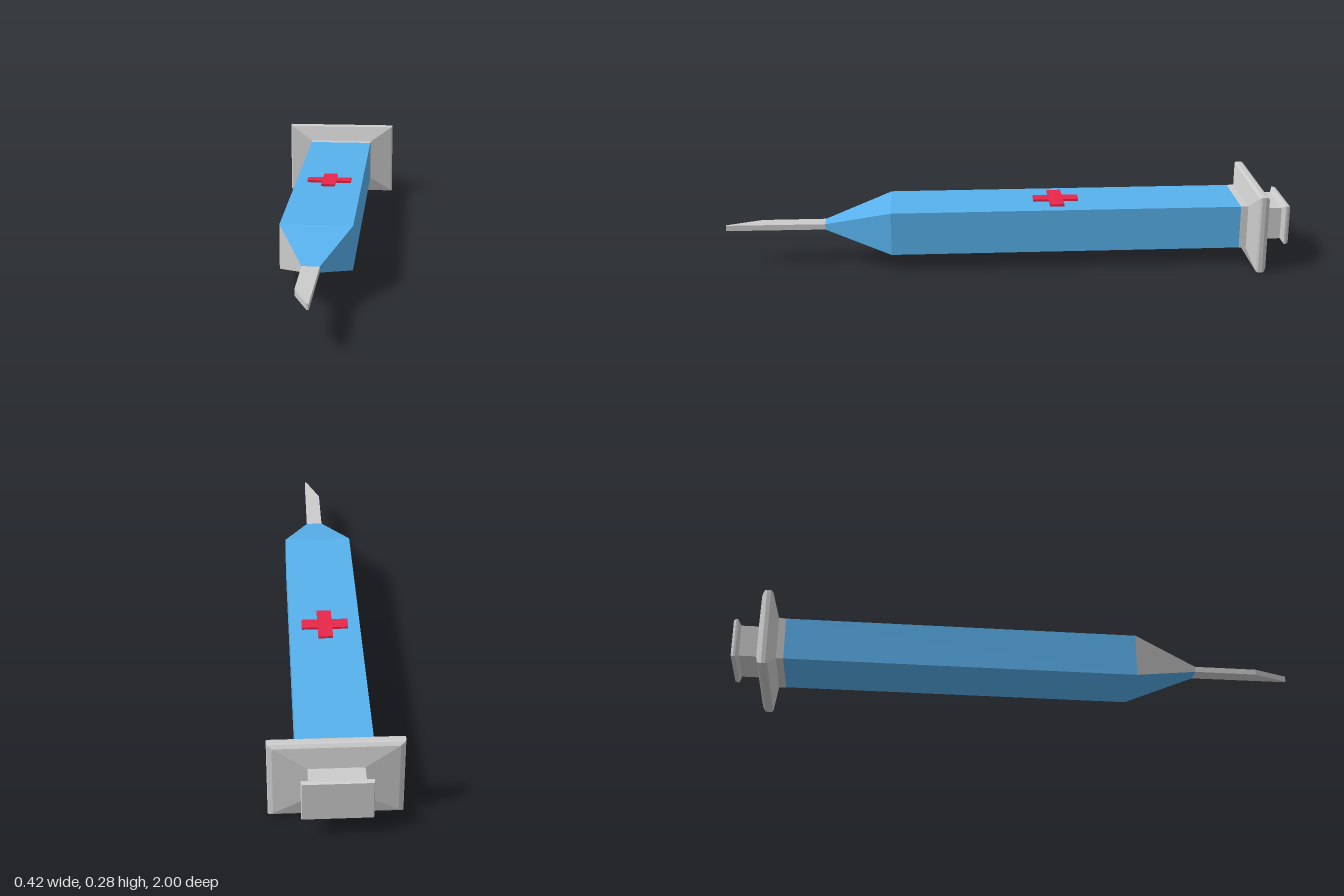
import * as THREE from 'three';

const CY = 0.139; // height of the long axis
const grey = new THREE.MeshStandardMaterial({ color: 0xcccccc, flatShading: true });
const blue = new THREE.MeshStandardMaterial({ color: 0x58b2ee, flatShading: true });
const red = new THREE.MeshStandardMaterial({ color: 0xe8264a, flatShading: true });

// Rectangular loft along z. Sections are [z, halfWidth, halfHeight, centreX], z rising.
// sides: 0 top, 1 -x, 2 bottom, 3 +x
function loft(sections, sides = [0, 1, 2, 3], caps = true) {
  const pos = [];
  const rings = sections.map(([z, w, h, cx = 0]) =>
    [[1, 1], [-1, 1], [-1, -1], [1, -1]].map(([sx, sy]) => [cx + sx * w, CY + sy * h, z]));
  const quad = (a, b, c, d) => pos.push(...a, ...b, ...c, ...a, ...c, ...d);
  for (let i = 0; i < rings.length - 1; i++) {
    const p = rings[i], q = rings[i + 1];
    for (const k of sides) quad(p[k], p[(k + 1) % 4], q[(k + 1) % 4], q[k]);
  }
  if (caps) {
    const s = rings[0];
    quad(s[3], s[2], s[1], s[0]);
    quad(...rings[rings.length - 1]);
  }
  const g = new THREE.BufferGeometry();
  g.setAttribute('position', new THREE.Float32BufferAttribute(pos, 3));
  g.computeVertexNormals();
  return g;
}

// Flat slab from an [x, z] outline, with its top at the given height
function slab(points, top, depth) {
  const shape = new THREE.Shape(points.map(([x, z]) => new THREE.Vector2(x, z)));
  return new THREE.ExtrudeGeometry(shape, { depth, bevelEnabled: false })
    .rotateX(Math.PI / 2).translate(0, top, 0);
}

export function createModel() {
  const model = new THREE.Group();
  const add = (name, geometry, material) => {
    const mesh = new THREE.Mesh(geometry, material);
    mesh.name = name;
    model.add(mesh);
  };

  // Barrel and its tapered nozzle, one nozzle face left grey
  const shoulder = [0.415, 0.122, 0.077], tip = [0.65, 0.029, 0.01, 0.002];
  add('barrel', loft([[-0.82, 0.122, 0.077], shoulder]), blue);
  add('nozzle', loft([shoulder, tip], [0, 2, 3]), blue);
  add('nozzleGreyFace', loft([shoulder, tip], [1], false), grey);

  // Slanted needle
  add('needle', slab([[-0.027, 0.64], [0.031, 0.64], [0.027, 1], [0.021, 1], [-0.027, 0.875]],
    CY + 0.01, 0.02), grey);

  // Finger flange with bevelled rim, joined to the barrel by a collar
  add('flange', loft([
    [-0.915, 0.088, 0.058], [-0.902, 0.195, 0.127], [-0.894, 0.209, 0.137],
    [-0.886, 0.212, 0.139], [-0.872, 0.212, 0.139], [-0.865, 0.207, 0.135],
    [-0.845, 0.124, 0.078], [-0.82, 0.122, 0.077],
  ]), grey);

  // Plunger neck and thumb plate
  add('plunger', loft([
    [-1, 0.108, 0.068], [-0.992, 0.111, 0.071], [-0.985, 0.111, 0.071],
    [-0.975, 0.088, 0.058], [-0.91, 0.088, 0.058],
  ]), grey);

  // Raised cross on the barrel
  const a = 0.08, b = 0.025;
  const cross = [[a, -b], [a, b], [b, b], [b, a], [-b, a], [-b, b],
    [-a, b], [-a, -b], [-b, -b], [-b, -a], [b, -a], [b, -b]];
  add('cross', slab(cross.map(([x, z]) => [x, z - 0.172]), 0.224, 0.012), red);

  return model;
}
